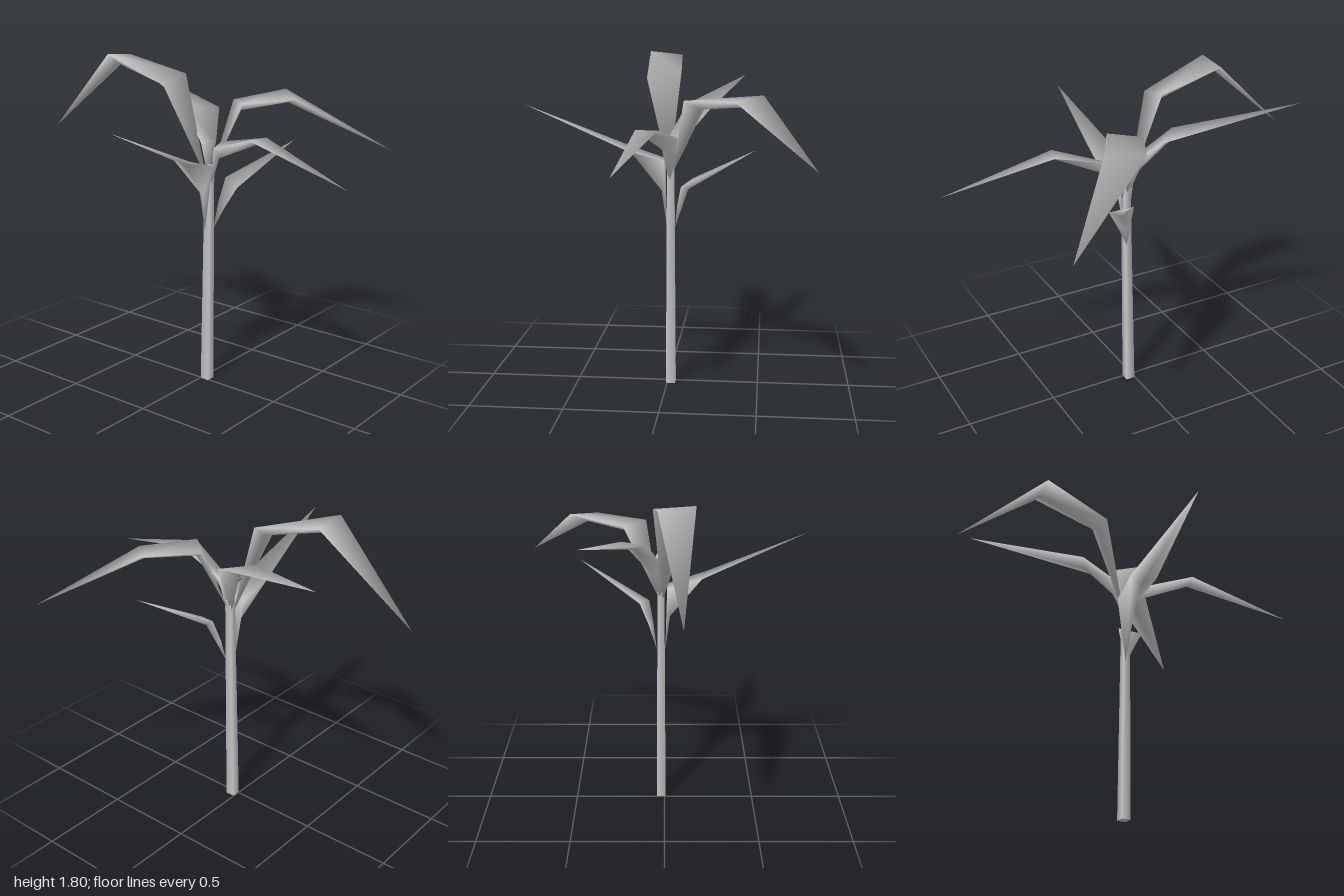
import * as THREE from 'three';

const material = new THREE.MeshStandardMaterial({ color: 0xcccccc, side: THREE.DoubleSide });

// Smooth normals in which each face counts by its corner angle, so that
// thin blade edges look sideways rather than up.
function angleWeightedNormals(points, index) {
  const v = points.map((p) => new THREE.Vector3(...p));
  const normals = v.map(() => new THREE.Vector3());
  for (let i = 0; i < index.length; i += 3) {
    for (let k = 0; k < 3; k++) {
      const [p, q, r] = [0, 1, 2].map((n) => index[i + (k + n) % 3]);
      const e1 = v[q].clone().sub(v[p]);
      const e2 = v[r].clone().sub(v[p]);
      const face = e1.clone().cross(e2).normalize();
      normals[p].addScaledVector(face, e1.angleTo(e2));
    }
  }
  return normals.flatMap((n) => n.normalize().toArray());
}

// A solid blade with a keel below: base point, two triangular sections
// of [edge, keel, edge], and a tip point, shaded smooth all round.
function makeLeaf(name, base, near, far, tip) {
  const points = [base, ...near, ...far, tip];
  const index = [];
  for (let k = 0; k < 3; k++) {
    const j = (k + 1) % 3;
    const a = 1 + k, a2 = 1 + j, b = 4 + k, b2 = 4 + j;
    index.push(0, a, a2, a, b, b2, a, b2, a2, b, 7, b2);
  }
  const geometry = new THREE.BufferGeometry();
  geometry.setAttribute('position', new THREE.Float32BufferAttribute(points.flat(), 3));
  geometry.setAttribute('normal', new THREE.Float32BufferAttribute(angleWeightedNormals(points, index), 3));
  geometry.setIndex(index);
  const mesh = new THREE.Mesh(geometry, material);
  mesh.name = name;
  return mesh;
}

export function createModel() {
  const group = new THREE.Group();
  group.name = 'plant';

  // Slightly leaning, tapered four-sided stalk
  const height = 1.24;
  const stemGeometry = new THREE.CylinderGeometry(0.026, 0.036, height, 4, 1);
  stemGeometry.rotateY(Math.PI / 4);
  stemGeometry.translate(0, height / 2, 0);
  const pos = stemGeometry.attributes.position;
  for (let i = 0; i < pos.count; i++) {
    pos.setX(i, pos.getX(i) + 0.029 + 0.014 * pos.getY(i) / height);
    pos.setZ(i, pos.getZ(i) - 0.019);
  }
  const stem = new THREE.Mesh(stemGeometry, material);
  stem.name = 'stem';
  group.add(stem);

  // Leaves, each ordered from the stem outward
  group.add(
    makeLeaf('frontLeaf', [0.03, 0.88, 0.004],
      [[0.09, 1.25, 0.015], [0.035, 1.08, 0.03], [-0.025, 1.25, 0.015]],
      [[0.11, 1.31, 0.22], [0.04, 1.28, 0.19], [-0.035, 1.31, 0.2]],
      [0.06, 1.54, 0.765]),
    makeLeaf('leftLowLeaf', [0.04, 1.09, -0.02],
      [[0.09, 1.37, -0.06], [0.115, 1.29, -0.01], [0.11, 1.35, 0.03]],
      [[0.43, 1.445, 0.01], [0.41, 1.415, 0.07], [0.4, 1.445, 0.125]],
      [1, 1.29, 0.165]),
    makeLeaf('rightTallLeaf', [0.03, 1.17, -0.01],
      [[-0.15, 1.67, 0.13], [-0.145, 1.64, 0.03], [-0.15, 1.71, -0.06]],
      [[-0.52, 1.805, 0.15], [-0.53, 1.745, 0.06], [-0.52, 1.785, -0.035]],
      [-1, 1.35, 0.085]),
    makeLeaf('backTallLeaf', [0.04, 1.18, -0.03],
      [[0.05, 1.57, -0.22], [0.13, 1.525, -0.18], [0.195, 1.575, -0.1]],
      [[0.195, 1.605, -0.51], [0.27, 1.55, -0.42], [0.35, 1.58, -0.37]],
      [0.715, 1.285, -0.775]),
    makeLeaf('backRightLeaf', [0.035, 1.16, -0.02],
      [[0, 1.36, 0], [-0.02, 1.32, -0.06], [0.04, 1.36, -0.08]],
      [[-0.19, 1.53, -0.09], [-0.15, 1.5, -0.16], [-0.05, 1.515, -0.225]],
      [-0.775, 1.66, -0.395]),
    makeLeaf('backLowLeaf', [0.05, 0.88, -0.042],
      [[0.052, 1.02, -0.085], [0.085, 0.99, -0.08], [0.115, 1.01, -0.06]],
      [[0.06, 1.155, -0.14], [0.125, 1.105, -0.12], [0.18, 1.125, -0.085]],
      [0.28, 1.335, -0.475]),
  );
  return group;
}
